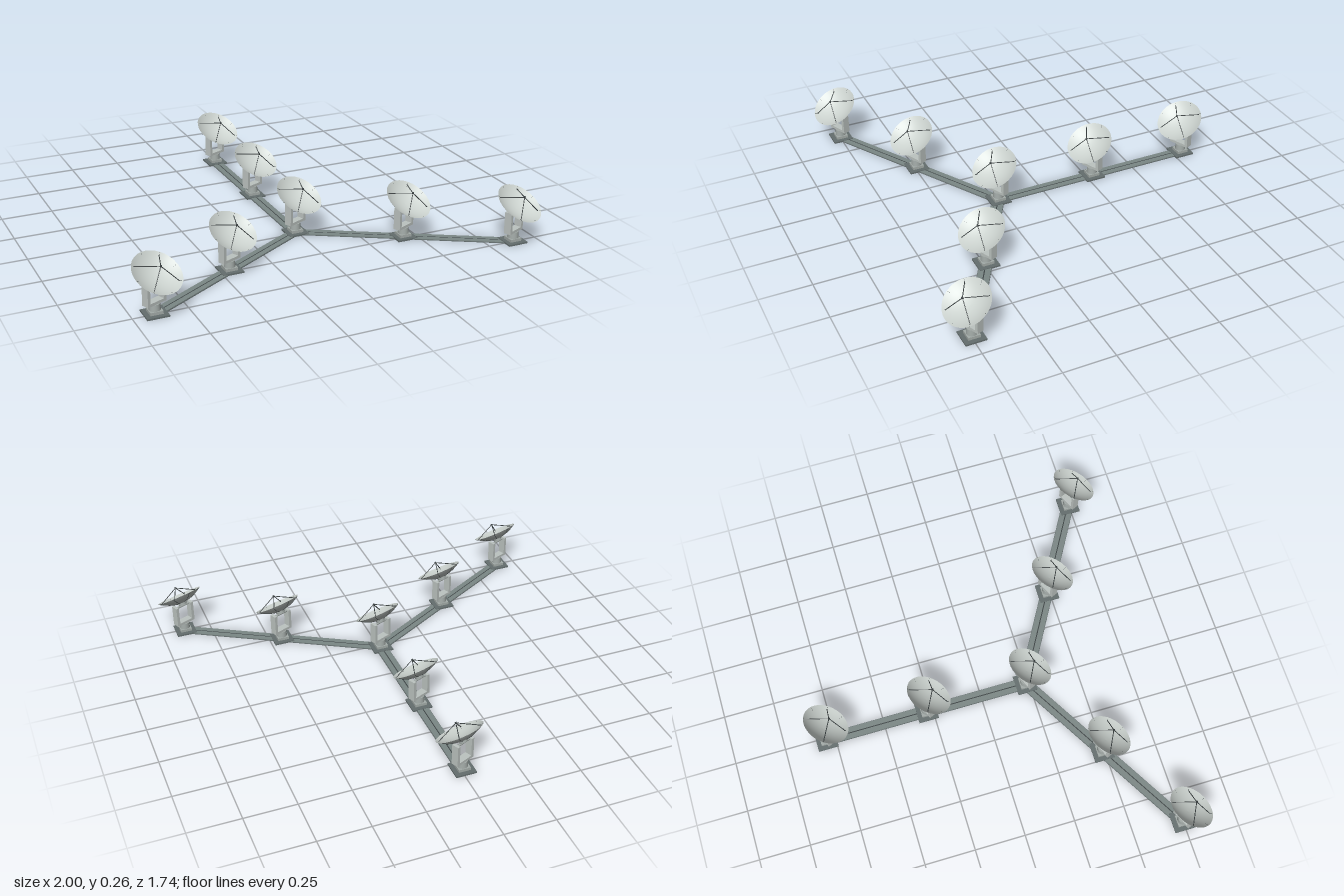
import * as THREE from 'three';

const mat = (name, color) => {
  const m = new THREE.MeshStandardMaterial({ color });
  m.name = name;
  return m;
};

export function createModel() {
  const white = mat('dish pale grey', 0xccd3cf);
  const steel = mat('yoke light grey', 0xbcc3c0);
  const base = mat('pedestal grey', 0xa3abA8);
  const concrete = mat('track grey', 0x7b8785);
  const slab = mat('slab grey', 0x646e6e);
  const dark = mat('dark metal', 0x3c4344);

  const model = new THREE.Group();
  model.name = 'antennaArray';

  const add = (parent, name, geometry, material, x = 0, y = 0, z = 0) => {
    const mesh = new THREE.Mesh(geometry, material);
    mesh.name = name;
    mesh.position.set(x, y, z);
    parent.add(mesh);
    return mesh;
  };
  const box = (w, h, d) => new THREE.BoxGeometry(w, h, d);
  const cyl = (r1, r2, h, n = 20) => new THREE.CylinderGeometry(r1, r2, h, n);

  // Round bar between two points
  const rod = (parent, name, a, b, r, material) => {
    const mesh = add(parent, name, cyl(r, r, a.distanceTo(b), 6), material);
    mesh.position.copy(a).add(b).multiplyScalar(0.5);
    mesh.quaternion.setFromUnitVectors(new THREE.Vector3(0, 1, 0), b.clone().sub(a).normalize());
  };

  const R = 0.115, DEPTH = 0.037, THICK = 0.003;
  const bowl = (r) => DEPTH * (r / R) ** 2;

  // Reflector with its back ribs, four struts and feed; it opens along +y
  function createDish() {
    const dish = new THREE.Group();
    dish.name = 'dish';
    const face = [], back = [];
    for (let i = 0; i <= 8; i++) {
      const r = (R * i) / 8;
      back.push(new THREE.Vector2(r, bowl(r) - THICK * (1 - i / 8)));
      face.unshift(new THREE.Vector2(r, bowl(r)));
    }
    add(dish, 'dishFace', new THREE.LatheGeometry(face, 32), white);
    add(dish, 'dishBack', new THREE.LatheGeometry(back, 32), steel);
    add(dish, 'dishHub', cyl(0.024, 0.02, 0.012), base, 0, -0.0075, 0);

    for (let i = 0; i < 8; i++) {
      const a = (i / 8) * Math.PI * 2;
      const path = new THREE.CatmullRomCurve3([0.025, 0.06, 0.09, 0.113].map((r) =>
        new THREE.Vector3(Math.cos(a) * r, bowl(r) - THICK * (1 - r / R) - 0.0008, Math.sin(a) * r)));
      add(dish, 'backRib', new THREE.TubeGeometry(path, 6, 0.0012, 5), dark);
    }

    const apex = new THREE.Vector3(0, DEPTH + 0.043, 0);
    for (let i = 0; i < 4; i++) {
      const a = Math.PI / 4 + (i * Math.PI) / 2;
      const foot = new THREE.Vector3(Math.cos(a) * 0.102, bowl(0.102), Math.sin(a) * 0.102);
      rod(dish, 'feedStrut', foot, apex, 0.002, dark);
    }
    add(dish, 'feed', cyl(0.005, 0.004, 0.007, 10), dark, 0, apex.y, 0);
    return dish;
  }

  // One antenna: square pad, pedestal, turned yoke and tilted dish
  function createAntenna() {
    const antenna = new THREE.Group();
    antenna.name = 'antenna';
    add(antenna, 'pad', box(0.1, 0.008, 0.1), slab, 0, 0.004, 0);
    add(antenna, 'pedestalFoot', box(0.058, 0.014, 0.058), base, 0, 0.015, 0);
    add(antenna, 'pedestal', cyl(0.024, 0.026, 0.032), base, 0, 0.036, 0);

    const turret = new THREE.Group();
    turret.name = 'turret';
    turret.rotation.y = THREE.MathUtils.degToRad(23.5);
    antenna.add(turret);
    add(turret, 'yokeBase', box(0.105, 0.013, 0.036), steel, 0, 0.0585, 0);
    for (const s of [-1, 1]) {
      add(turret, 'yokeArm', box(0.015, 0.098, 0.036), steel, s * 0.045, 0.111, 0);
    }
    const axle = add(turret, 'elevationAxle', cyl(0.006, 0.006, 0.09, 10), base, 0, 0.152, 0);
    axle.rotation.z = Math.PI / 2;

    const dish = createDish();
    dish.position.set(0, 0.169, 0.004);
    dish.rotation.x = THREE.MathUtils.degToRad(33);
    turret.add(dish);
    return antenna;
  }

  // Three track arms around the hub, with two antennas on each
  const CX = -0.009, CZ = 0.232, ARM = 1.027;
  const place = (r, a) => {
    const antenna = createAntenna();
    antenna.position.set(CX + Math.sin(a) * r, 0, CZ + Math.cos(a) * r);
    model.add(antenna);
  };
  place(0, 0);
  for (let i = 0; i < 3; i++) {
    const a = Math.PI + (i * Math.PI * 2) / 3;
    const track = new THREE.Group();
    track.name = 'trackArm';
    track.position.set(CX, 0, CZ);
    track.rotation.y = a;
    model.add(track);
    add(track, 'trackBed', box(0.062, 0.003, ARM), slab, 0, 0.0015, ARM / 2);
    add(track, 'trackCentreLine', box(0.005, 0.002, ARM), dark, 0, 0.0038, ARM / 2);
    for (const s of [-1, 1]) {
      add(track, 'trackStrip', box(0.026, 0.003, ARM), concrete, s * 0.0155, 0.0038, ARM / 2);
    }
    place(ARM / 2, a);
    place(ARM, a);
  }
  return model;
}
